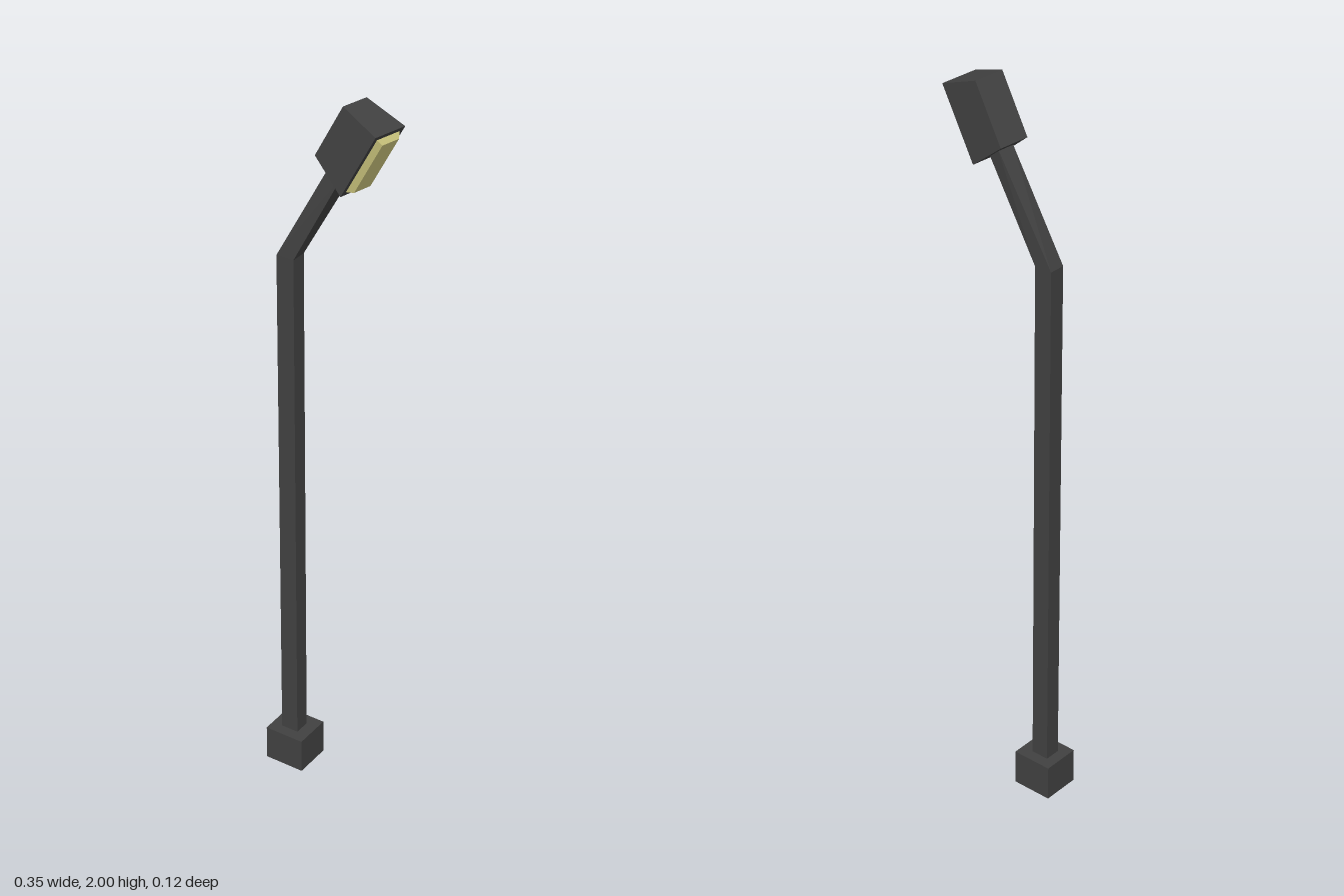
import * as THREE from 'three';

// Joins four-cornered rings into a closed, hard-edged solid.
// Each ring runs anticlockwise when seen from the far end.
function loft(rings) {
  const pos = [];
  const quad = (a, b, c, d) => [a, b, c, a, c, d].forEach((p) => pos.push(p.x, p.y, p.z));
  for (let r = 0; r + 1 < rings.length; r++) {
    const lo = rings[r], hi = rings[r + 1];
    for (let i = 0; i < 4; i++) {
      const j = (i + 1) % 4;
      quad(lo[i], lo[j], hi[j], hi[i]);
    }
  }
  const start = rings[0], end = rings[rings.length - 1];
  quad(start[3], start[2], start[1], start[0]);
  quad(end[0], end[1], end[2], end[3]);
  const geo = new THREE.BufferGeometry();
  geo.setAttribute('position', new THREE.Float32BufferAttribute(pos, 3));
  geo.computeVertexNormals();
  return geo;
}

// Rectangle around a centre, spanned by two half-size vectors
function ring(centre, u, v) {
  return [[-1, -1], [1, -1], [1, 1], [-1, 1]].map(([a, b]) =>
    centre.clone().addScaledVector(u, a).addScaledVector(v, b));
}

const V = (x, y, z) => new THREE.Vector3(x, y, z);

// Rectangle in the local XY plane
const rect = (hx, hy, z) => ring(V(0, 0, z), V(hx, 0, 0), V(0, hy, 0));

export function createModel() {
  const model = new THREE.Group();
  model.name = 'streetLamp';

  const metal = new THREE.MeshStandardMaterial({ color: 0x414141, flatShading: true });
  metal.name = 'dark grey metal';
  const glow = new THREE.MeshStandardMaterial({ color: 0xd0ca80, flatShading: true });
  glow.name = 'pale yellow lens';

  const add = (parent, name, geo, mat) => {
    const mesh = new THREE.Mesh(geo, mat);
    mesh.name = name;
    parent.add(mesh);
    return mesh;
  };

  // Slightly twisted axes shared by the arm's end and the lamp head
  const along = V(0.48, 0.877, 0.02).normalize();
  const across = V(-0.14, 0.08, 0.987);
  across.addScaledVector(along, -across.dot(along)).normalize();
  const facing = along.clone().cross(across);

  // Base block
  add(model, 'base', new THREE.BoxGeometry(0.114, 0.1, 0.106), metal)
    .position.set(-0.12, 0.05, -0.002);

  // Pole and arm, sharing the section at the bend
  const poleRing = (y) => ring(V(-0.122, y, -0.002), V(0, 0, 0.0225), V(0.025, 0, 0));
  const bend = poleRing(1.55);
  const armEnd = ring(V(0.029, 1.826, -0.009),
    across.clone().multiplyScalar(0.0225), facing.clone().multiplyScalar(0.021));
  add(model, 'pole', loft([poleRing(0.09), bend]), metal);
  add(model, 'arm', loft([bend, armEnd]), metal);

  // Lamp head: local Z points out through the lens
  const head = new THREE.Group();
  head.name = 'lampHead';
  head.applyMatrix4(new THREE.Matrix4().makeBasis(across.clone().negate(), along, facing));
  head.position.set(0.1175, 1.867, 0.003);
  model.add(head);
  add(head, 'housing', loft([rect(0.0415, 0.0845, -0.118), rect(0.052, 0.103, 0)]), metal);
  add(head, 'lens', loft([rect(0.041, 0.092, -0.002), rect(0.029, 0.083, 0.014)]), glow);

  return model;
}
